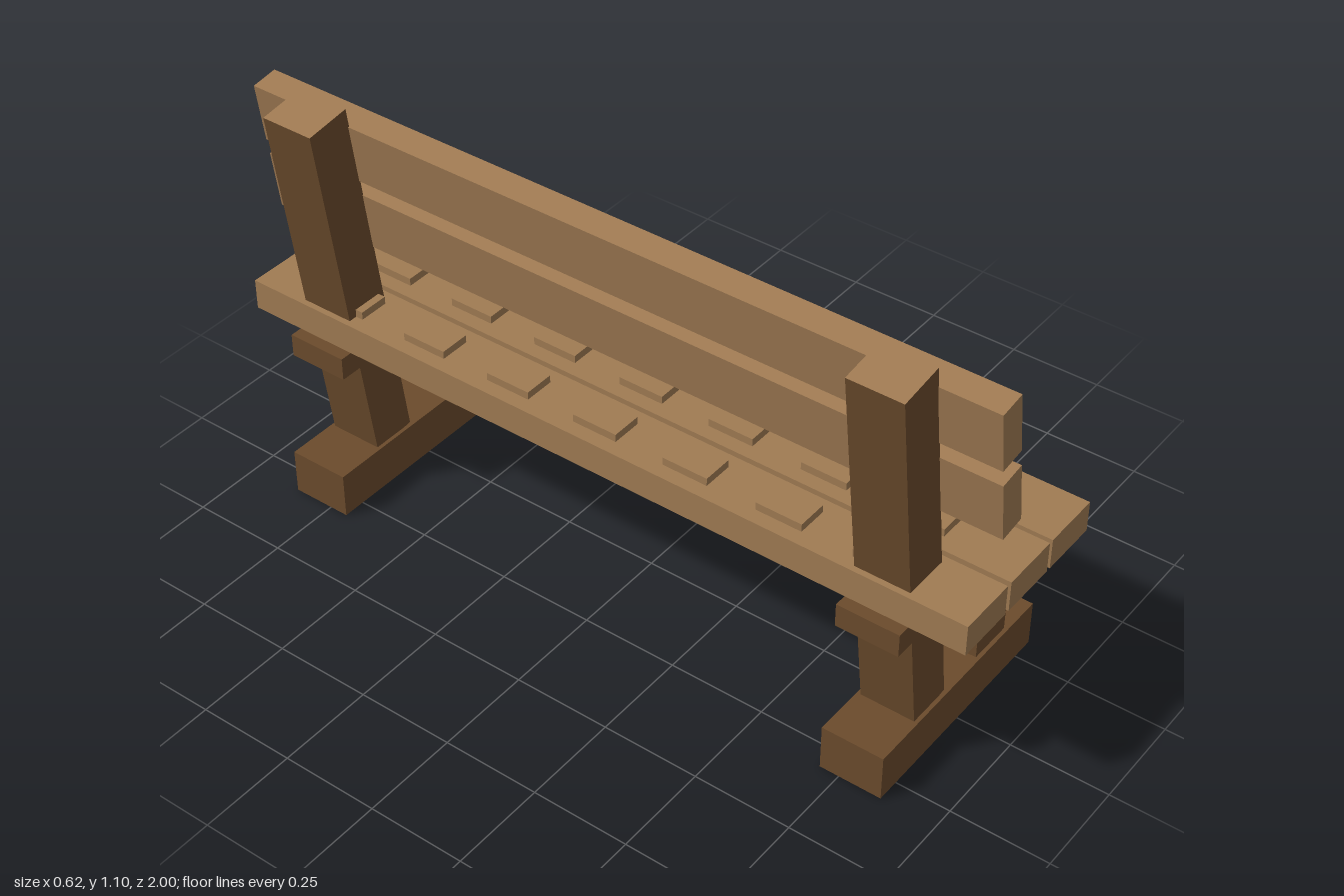
import * as THREE from 'three';

export function createModel() {
  const bench = new THREE.Group();
  bench.name = 'bench';

  const lightWood = new THREE.MeshStandardMaterial({ color: 0xa07b53 });
  lightWood.name = 'light wood';
  const darkWood = new THREE.MeshStandardMaterial({ color: 0x6b4b2c, side: THREE.DoubleSide });
  darkWood.name = 'dark wood';

  const tilt = THREE.MathUtils.degToRad(8); // backward lean of the backrest

  function box(name, material, size, position, lean = 0) {
    const mesh = new THREE.Mesh(new THREE.BoxGeometry(...size), material);
    mesh.name = name;
    mesh.position.set(...position);
    mesh.rotation.z = lean;
    bench.add(mesh);
    return mesh;
  }

  // Supports at both ends
  for (const [side, z] of [['left', 0.78], ['right', -0.78]]) {
    // Foot is a hollow beam, open underneath (bottom is face group 3)
    const foot = box(side + 'Foot', darkWood, [0.62, 0.12, 0.16], [0, 0.06, z]);
    const index = Array.from(foot.geometry.index.array);
    index.splice(18, 6);
    foot.geometry.setIndex(index);
    foot.geometry.clearGroups();

    box(side + 'FrontLeg', darkWood, [0.12, 0.28, 0.14], [0.14, 0.26, z]);
    box(side + 'SeatBearer', darkWood, [0.56, 0.06, 0.16], [0, 0.43, z]);

    // Leaning post with a light end-grain top
    const length = 0.99;
    const sides = [darkWood, darkWood, lightWood, darkWood, darkWood, darkWood];
    box(side + 'BackPost', sides, [0.12, length, 0.14],
      [-0.25 + Math.sin(tilt) * length / 2, 1.095 - Math.cos(tilt) * length / 2, z], tilt);
  }

  // Seat planks, each with a row of raised pads
  for (const x of [-0.17, 0, 0.168]) {
    box('seatPlank', lightWood, [0.156, 0.08, 2], [x, 0.5, 0]);
    for (let i = -3; i <= 3; i++) {
      box('seatPad', lightWood, [0.08, 0.02, 0.12], [x, 0.55, i * 0.25]);
    }
  }

  // Backrest slats
  box('upperBackSlat', lightWood, [0.07, 0.158, 2], [-0.141, 0.98, 0], tilt);
  box('lowerBackSlat', lightWood, [0.07, 0.158, 2], [-0.112, 0.781, 0], tilt);

  return bench;
}
